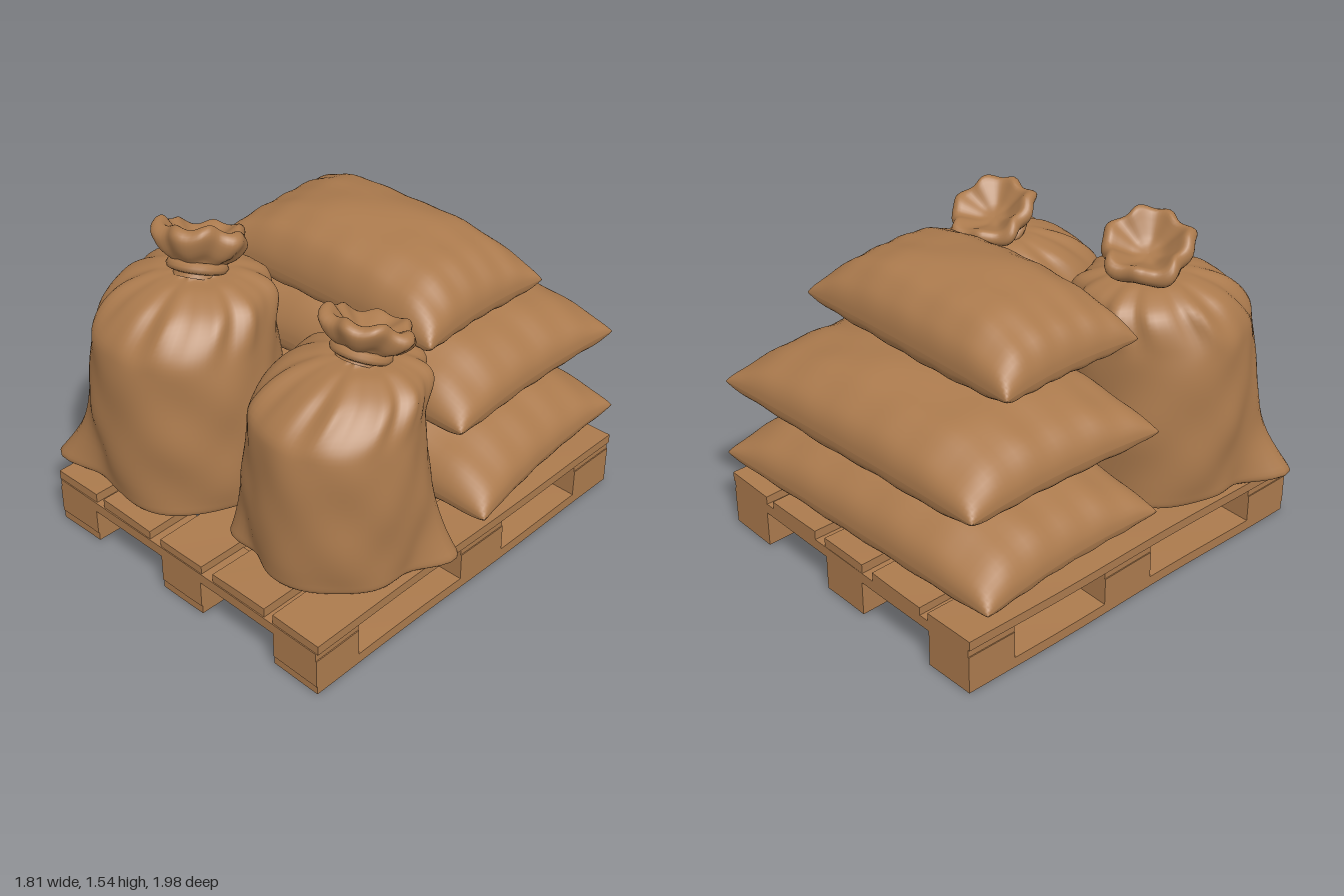
import * as THREE from 'three';

const burlap = new THREE.MeshStandardMaterial({ color: 0xab7a4d });
burlap.name = 'burlap brown';

function mesh(name, geometry, parent) {
  const m = new THREE.Mesh(geometry, burlap);
  m.name = name;
  parent.add(m);
  return m;
}

function indexed(positions, index) {
  const g = new THREE.BufferGeometry();
  g.setAttribute('position', new THREE.Float32BufferAttribute(positions, 3));
  g.setIndex(index);
  g.computeVertexNormals();
  return g;
}

// Closed rings stacked along a smooth [radius, height] profile, shaped by a rule
function loft(profile, rows, cols, shape) {
  const curve = new THREE.SplineCurve(profile.map(([r, y]) => new THREE.Vector2(r, y)));
  const pos = [], idx = [];
  for (let i = 0; i <= rows; i++) {
    const p = curve.getPoint(i / rows);
    for (let j = 0; j < cols; j++) {
      pos.push(...shape(Math.max(p.x, 0), p.y, (j / cols) * Math.PI * 2, i / rows));
      if (i === rows) continue;
      const a = i * cols + j, b = i * cols + (j + 1) % cols;
      idx.push(a, a + cols, b, b, a + cols, b + cols);
    }
  }
  return indexed(pos, idx);
}

// Soft irregular dents shared by all the cloth
const dent = (x, y, z) =>
  Math.sin(9 * x + 5 * y) * Math.sin(8 * y - 6 * z + 1) + 0.5 * Math.sin(17 * z + 11 * x) * Math.sin(15 * y + 2);

// Lying pillow sack: two bulging sheets meeting in a seam, given four corners [x, z]
function pillow(name, corners, seamY, up, down, parent) {
  const n = 40, pos = [], idx = [];
  const [bl, br, fr, fl] = corners;
  for (const side of [1, -1]) {
    const base = pos.length / 3;
    for (let i = 0; i <= n; i++) for (let j = 0; j <= n; j++) {
      const u = -Math.cos((i / n) * Math.PI), v = -Math.cos((j / n) * Math.PI);
      const s = (u + 1) / 2, t = (v + 1) / 2;
      const mix = k => (bl[k] * (1 - s) + br[k] * s) * (1 - t) + (fl[k] * (1 - s) + fr[k] * s) * t;
      // edges pulled in between the pointed corners
      const x = mix(0) - 0.035 * u * (1 - v * v), z = mix(1) - 0.012 * v * (1 - u * u);
      const fill = Math.max(0, (1 - Math.abs(u) ** 2.7) * (1 - Math.abs(v) ** 2.7));
      const swell = fill ** (side > 0 ? 0.45 : 0.36);
      const pleat = 0.016 * swell * (1 - swell) * (Math.sin(u * 19) + Math.sin(v * 17));
      const y = seamY + side * (side > 0 ? up : down) * swell + pleat + 0.008 * dent(x, seamY, z) * swell;
      pos.push(x, y, z);
      if (i === n || j === n) continue;
      const a = base + i * (n + 1) + j, b = a + 1, c = a + n + 1, d = c + 1;
      if (side > 0) idx.push(a, b, c, c, b, d);
      else idx.push(a, c, b, c, d, b);
    }
  }
  mesh(name, indexed(pos, idx), parent);
}

// Upright tied sack; ears are the pointed bottom corners as [angle, reach]
function tiedSack(name, o, parent) {
  const g = new THREE.Group();
  g.name = name;
  parent.add(g);
  const R = o.radius, H = o.neckY - 0.28;
  const body = [[0, 0], [0.6, 0], [0.92, 0.01], [0.98, 0.09], [1.01, 0.3], [1, 0.5], [0.97, 0.7], [0.9, 0.83],
    [0.75, 0.93], [0.48, 0.985], [0.25, 1], [0.22, 1.04]].map(([r, y]) => [r * R, y * H]);
  mesh('sackBody', loft(body, 56, 96, (r, y, a) => {
    const h = Math.max(0, y), k = h / H;
    let rad = r;
    for (const [angle, reach] of o.ears)
      rad += reach * (r / R) * Math.max(0, Math.cos(a - angle)) ** 36 * Math.exp(-((k / 0.2) ** 1.3));
    // pleats gathering toward the neck
    const gather = THREE.MathUtils.smoothstep(k, 0.72, 0.95);
    rad *= 1 + 0.05 * gather * (Math.cos(11 * a + 1) + 0.5 * Math.cos(17 * a));
    const x = Math.cos(a), z = Math.sin(a);
    rad += 0.01 * dent(x * 0.6 + o.x, h, z * 0.6) * (r / R);
    const lean = THREE.MathUtils.smoothstep(k, 0.75, 1);
    return [o.x + x * rad + (o.neck[0] - o.x) * lean, 0.28 + h, o.z + z * rad + (o.neck[1] - o.z) * lean];
  }), g);

  // tie cord and gathered ruffle, tilted together
  const top = new THREE.Group();
  top.name = 'sackTop';
  top.position.set(o.neck[0], o.neckY + 0.01, o.neck[1]);
  top.rotation.set(o.tilt[0], 0, o.tilt[1]);
  g.add(top);
  const cord = mesh('tieCord', new THREE.TorusGeometry(0.11, 0.025, 8, 28), top);
  cord.rotation.x = Math.PI / 2;
  const ruffle = [[0.1, -0.04], [0.1, 0.01], [0.16, 0.05], [0.2, 0.1], [0.195, 0.135], [0.165, 0.15],
    [0.12, 0.12], [0.06, 0.08], [0, 0.07]];
  mesh('ruffle', loft(ruffle, 28, 64, (r, y, a, t) => {
    const w = Math.sin(Math.PI * Math.min(1, t * 1.1));
    const rad = r * (1 + w * (0.06 * Math.cos(5 * a + 1) + 0.04 * Math.cos(9 * a)));
    const rise = y * o.ruffleHeight + w * 0.012 * (Math.sin(3 * a) + Math.cos(7 * a + 2));
    return [Math.cos(a) * rad, rise, Math.sin(a) * rad];
  }), top);
}

// Slightly worn timber: a segmented box with gently uneven faces
function timber(name, x, y, z, w, h, d, parent) {
  const geo = new THREE.BoxGeometry(w, h, d, 3, 1, Math.max(2, Math.round(d * 6)));
  const p = geo.attributes.position;
  for (let i = 0; i < p.count; i++) {
    const px = p.getX(i) + x, pz = p.getZ(i) + z;
    p.setY(i, p.getY(i) + 0.004 * Math.sin(7 * px + 5 * pz));
  }
  geo.computeVertexNormals();
  mesh(name, geo, parent).position.set(x, y, z);
}

export function createModel() {
  const model = new THREE.Group();
  model.name = 'palletOfSacks';

  // Pallet
  const pallet = new THREE.Group();
  pallet.name = 'pallet';
  model.add(pallet);
  const midZ = 0.015;
  for (const x of [-0.69, -0.355, 0, 0.355, 0.69])
    timber('deckBoard', x, 0.255, midZ, Math.abs(x) === 0.355 ? 0.31 : 0.26, 0.045, 1.94, pallet);
  const blockRows = [[0.865, 0.25], [-0.045, 0.28], [-0.83, 0.25]];
  for (const [z, d] of blockRows) {
    timber('crossBoard', 0, 0.21, z, 1.62, 0.05, d, pallet);
    for (const x of [-0.69, 0, 0.69]) timber('block', x, 0.125, z, 0.25, 0.14, d, pallet);
  }
  for (const x of [-0.69, 0, 0.69]) timber('runner', x, 0.037, midZ, 0.25, 0.05, 1.94, pallet);
  timber('lowerCrossBoard', 0, 0.06, -0.045, 1.4, 0.035, 0.26, pallet);

  // Stack of lying sacks: corners back left, back right, front right, front left
  pillow('bottomPillowSack', [[-0.88, -0.91], [0.79, -0.99], [0.9, 0.06], [-0.83, 0.1]], 0.42, 0.265, 0.13, model);
  pillow('middlePillowSack', [[-0.79, -0.91], [0.75, -0.99], [0.76, 0.07], [-0.81, 0.11]], 0.81, 0.265, 0.15, model);
  pillow('topPillowSack', [[-0.66, -0.61], [0.6, -0.63], [0.61, 0.11], [-0.65, 0.13]], 1.18, 0.262, 0.13, model);

  // Upright tied sacks
  tiedSack('rightTiedSack', {
    x: -0.42, z: 0.535, radius: 0.415, neckY: 1.3, neck: [-0.4, 0.46], tilt: [-0.4, 0.18],
    ruffleHeight: 1.15, ears: [[2.48, 0.23], [-0.3, 0.05]],
  }, model);
  tiedSack('leftTiedSack', {
    x: 0.435, z: 0.475, radius: 0.38, neckY: 1.215, neck: [0.46, 0.36], tilt: [-0.45, 0.05],
    ruffleHeight: 0.95, ears: [[-0.55, 0.18], [2.5, 0.11]],
  }, model);
  return model;
}
